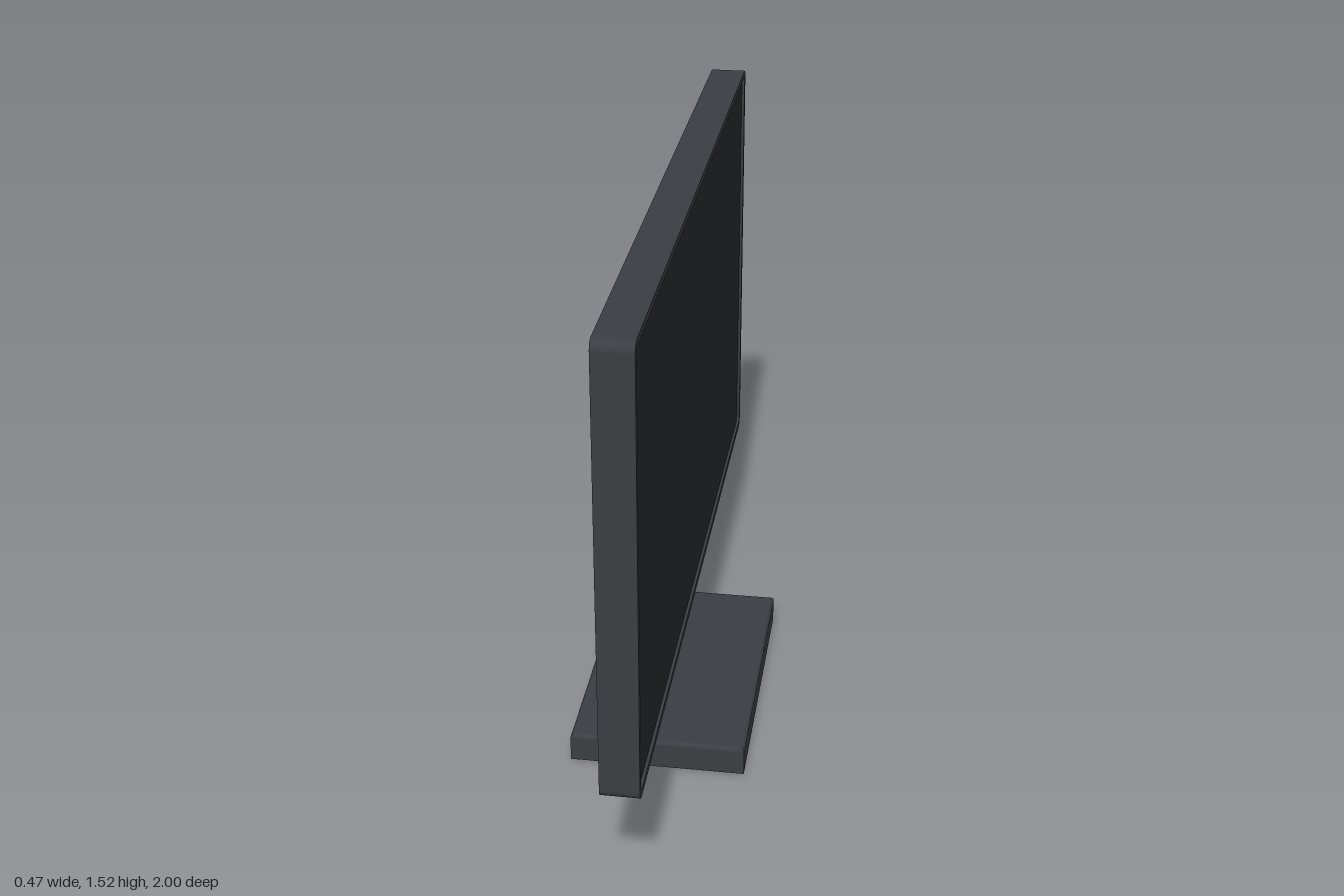
import * as THREE from 'three';

const body = new THREE.MeshStandardMaterial({ color: 0x3a3e42 });
const glass = new THREE.MeshStandardMaterial({ color: 0x26292b });

function add(group, name, geometry, material, x, y) {
  const mesh = new THREE.Mesh(geometry, material);
  mesh.name = name;
  mesh.position.set(x, y, 0);
  group.add(mesh);
}

// Box standing on y = 0 whose top edges are rounded with radius r.
function roundTopBox(w, h, d, r) {
  const n = 6;
  const geo = new THREE.BoxGeometry(w, h, d, 1, n + 1, 1);
  const p = geo.attributes.position;
  for (let i = 0; i < p.count; i++) {
    const row = Math.round((p.getY(i) / h + 0.5) * (n + 1));
    if (row === 0) { p.setY(i, 0); continue; }
    const a = ((row - 1) / n) * Math.PI / 2;
    const inset = r * (1 - Math.cos(a));
    p.setXYZ(i,
      Math.sign(p.getX(i)) * (w / 2 - inset),
      h - r + r * Math.sin(a),
      Math.sign(p.getZ(i)) * (d / 2 - inset));
  }
  geo.computeVertexNormals();
  return geo;
}

// Rounded rectangle centred on the origin.
function roundRect(w, h, r, Type = THREE.Shape) {
  const s = new Type();
  const x = w / 2, y = h / 2;
  s.moveTo(-x + r, -y);
  s.lineTo(x - r, -y);
  s.absarc(x - r, -y + r, r, -Math.PI / 2, 0);
  s.lineTo(x, y - r);
  s.absarc(x - r, y - r, r, 0, Math.PI / 2);
  s.lineTo(-x + r, y);
  s.absarc(-x + r, y - r, r, Math.PI / 2, Math.PI);
  s.lineTo(-x, -y + r);
  s.absarc(-x + r, -y + r, r, Math.PI, Math.PI * 1.5);
  return s;
}

// Extrude towards +x, the side the screen faces.
function slab(shape, depth) {
  return new THREE.ExtrudeGeometry(shape, { depth, bevelEnabled: false, curveSegments: 6 })
    .rotateY(Math.PI / 2);
}

export function createModel() {
  const model = new THREE.Group();
  model.name = 'monitor';

  // Stand
  add(model, 'base', roundTopBox(0.47, 0.08, 0.78, 0.012), body, 0, 0);
  add(model, 'column', roundTopBox(0.12, 0.98, 0.25, 0.025), body, -0.14, 0.075);
  add(model, 'mountArm', slab(roundRect(0.25, 0.115, 0.02), 0.05), body, -0.085, 0.9325);

  // Panel: housing, raised bezel and the slightly recessed screen
  const panelY = 0.935, w = 2, h = 1.17;
  add(model, 'housing', slab(roundRect(w, h, 0.025), 0.085), body, -0.04, panelY);
  const bezel = roundRect(w, h, 0.025);
  bezel.holes.push(roundRect(w - 0.036, h - 0.036, 0.012, THREE.Path));
  add(model, 'bezel', slab(bezel, 0.012), body, 0.045, panelY);
  add(model, 'screen', slab(roundRect(w - 0.036, h - 0.036, 0.012), 0.004), glass, 0.045, panelY);

  return model;
}
